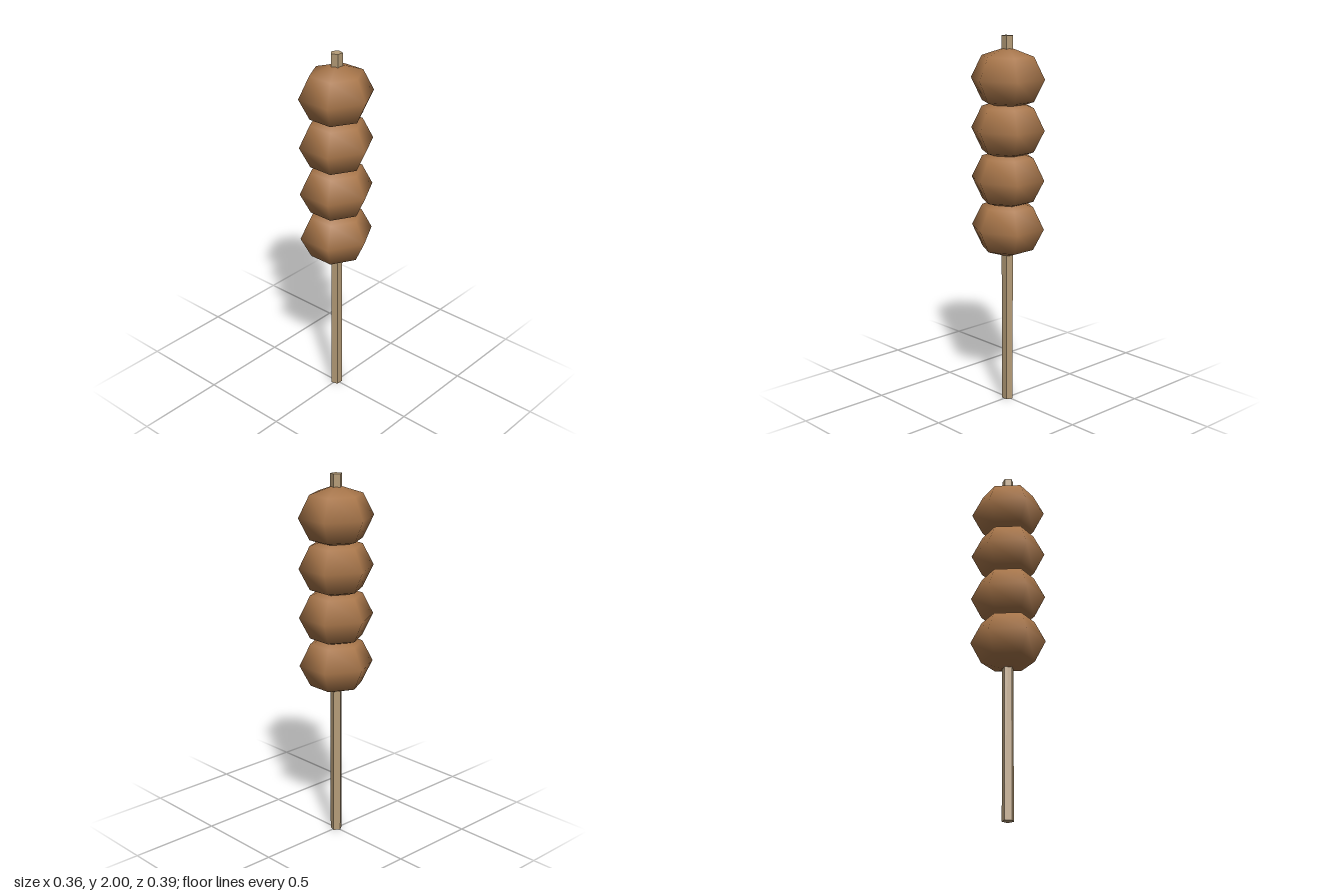
import * as THREE from 'three';

export function createModel() {
  const model = new THREE.Group();
  const stickMat = new THREE.MeshStandardMaterial({ color: 0xb59c78, flatShading: true });
  const ballMat = new THREE.MeshStandardMaterial({ color: 0xa8764a });

  // Five-sided skewer with one corner pointing to the back
  const stickGeo = new THREE.CylinderGeometry(0.032, 0.032, 2, 5);
  stickGeo.rotateY(Math.PI).translate(0, 1, 0);
  const stick = new THREE.Mesh(stickGeo, stickMat);
  stick.name = 'stick';
  model.add(stick);

  // Six-sided, slightly squashed balls that overlap along the skewer
  const ballGeo = new THREE.SphereGeometry(1, 6, 4);
  ballGeo.rotateY(Math.PI / 2).scale(0.205, 0.165, 0.195);
  for (let i = 0; i < 4; i++) {
    const ball = new THREE.Mesh(ballGeo, ballMat);
    ball.name = `ball${i + 1}`;
    ball.position.y = 0.983 + i * 0.265;
    model.add(ball);
  }
  return model;
}
